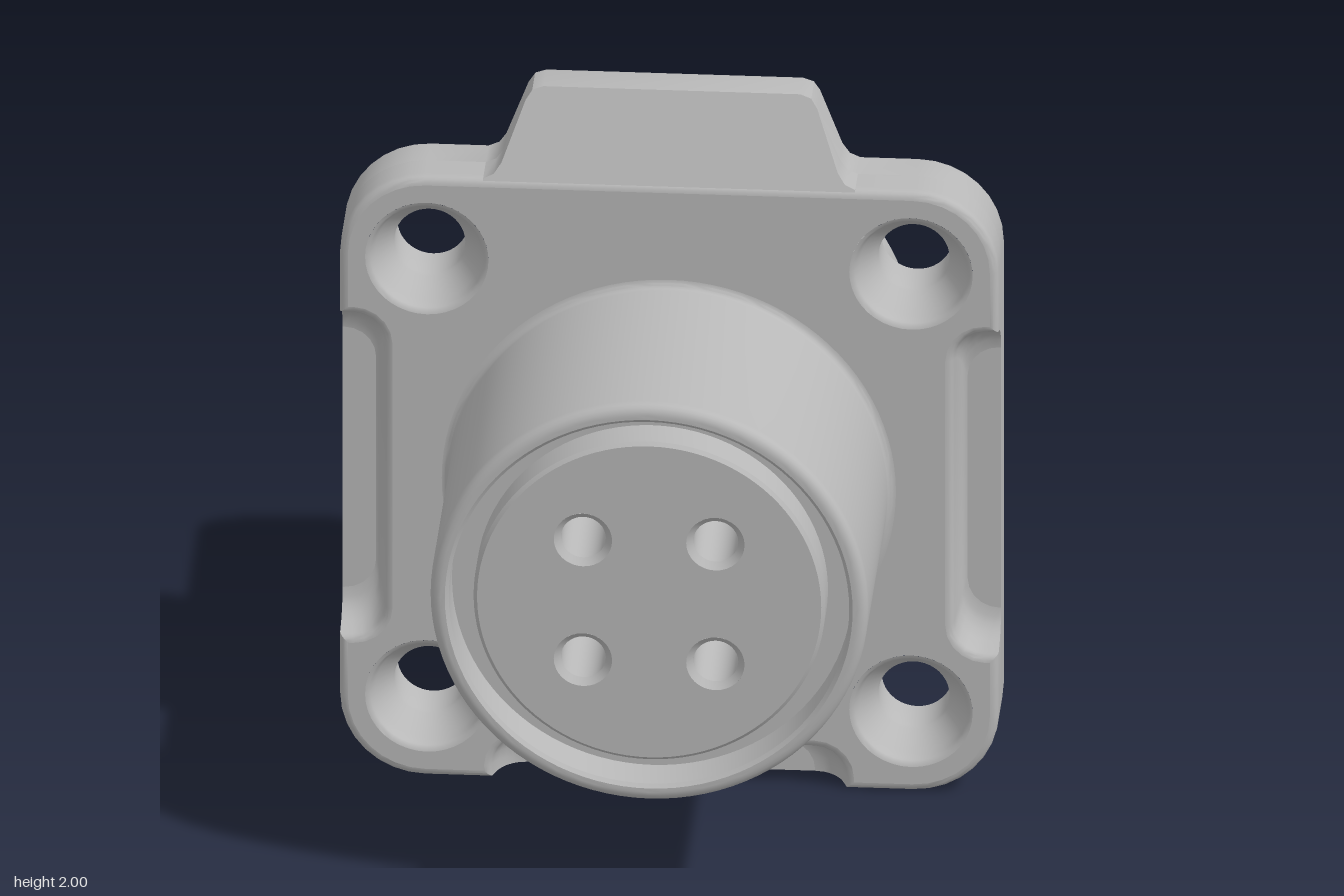
import * as THREE from 'three';
import { mergeGeometries, toCreasedNormals } from 'three/addons/utils/BufferGeometryUtils.js';

const H = 0.885;            // half size of the square flange, also the axis height
const FRONT = 0.13, BACK = -0.10, FLOOR = 0.02;
const CORNER = 0.23;
const HOLE = 0.647;         // screw hole offset from the axis

// Half of the raised tab, in edge coordinates (u along the edge, v inward)
const tabHalf = [[-0.5, 0], [-0.472, -0.012], [-0.452, -0.04], [-0.392, -0.195], [-0.375, -0.22], [-0.345, -0.23]];
const tab = [...tabHalf, ...tabHalf.map(([u, v]) => [-u, v]).reverse()];

// Edge coordinates to the front plane; side 0 bottom, 1 right, 2 top, 3 left
function place(side, u, v) {
  const p = new THREE.Vector2(u, v - H).rotateAround(new THREE.Vector2(), side * Math.PI / 2);
  return new THREE.Vector2(p.x * 0.88 / H, p.y + H);
}

// Notch in an edge with rounded inner corners
function notch(half, depth) {
  const r = 0.085, left = [[-half, 0]];
  for (let i = 0; i <= 5; i++) {
    const a = Math.PI - i / 5 * Math.PI / 2;
    left.push([-half + r + r * Math.cos(a), depth - r + r * Math.sin(a)]);
  }
  return [...left, ...left.map(([u, v]) => [-u, v]).reverse()];
}

// Rounded square, counterclockwise, with an extra path on each side
function outline(extras) {
  const pts = [];
  extras.forEach((extra, side) => {
    extra.forEach(([u, v]) => pts.push(place(side, u, v)));
    for (let i = 0; i <= 8; i++) {
      const a = -Math.PI / 2 + i / 8 * Math.PI / 2;
      pts.push(place(side, H - CORNER + CORNER * Math.cos(a), CORNER + CORNER * Math.sin(a)));
    }
  });
  return pts;
}

// Move every edge of an outline inward by d
function inset(pts, d) {
  const n = pts.length;
  const normal = (a, b) => new THREE.Vector2(a.y - b.y, b.x - a.x).normalize();
  return pts.map((p, i) => {
    const a = normal(pts[(i + n - 1) % n], p), b = normal(p, pts[(i + 1) % n]);
    return p.clone().addScaledVector(a.clone().add(b), d / (1 + a.dot(b)));
  });
}

// Walls between rings [points, height function]
function walls(rings) {
  const pos = [], n = rings[0][0].length;
  const put = (k, i) => { const p = rings[k][0][i]; pos.push(p.x, p.y, rings[k][1](p.y)); };
  for (let k = 0; k + 1 < rings.length; k++) {
    for (let i = 0; i < n; i++) {
      const j = (i + 1) % n;
      put(k, i); put(k, j); put(k + 1, j);
      put(k, i); put(k + 1, j); put(k + 1, i);
    }
  }
  const g = new THREE.BufferGeometry();
  g.setAttribute('position', new THREE.Float32BufferAttribute(pos, 3));
  return toCreasedNormals(g, 0.6);
}

// Flat cap with round holes, set to a height function
function cap(pts, height, holes = [], radius = 0, flip = false) {
  const shape = new THREE.Shape(pts);
  holes.forEach(([x, y]) => shape.holes.push(new THREE.Path().absarc(x, y, radius, 0, Math.PI * 2, true)));
  const g = new THREE.ShapeGeometry(shape, 24).toNonIndexed();
  const p = g.attributes.position;
  for (let i = 0; i < p.count; i++) p.setZ(i, height(p.getY(i)));
  if (flip) {
    for (let i = 0; i < p.count; i += 3) {
      const x = p.getX(i), y = p.getY(i), z = p.getZ(i);
      p.setXYZ(i, p.getX(i + 1), p.getY(i + 1), p.getZ(i + 1));
      p.setXYZ(i + 1, x, y, z);
    }
  }
  g.deleteAttribute('uv');
  g.computeVertexNormals();
  return g;
}

// Turned part around the z axis from [radius, z] points
function turned(profile, segments) {
  const g = new THREE.LatheGeometry(profile.map(([r, z]) => new THREE.Vector2(r, z)), segments);
  return toCreasedNormals(g.rotateX(Math.PI / 2), 0.6);
}

// Quarter round in [radius, z]
function arc(cr, cz, r, from, to, steps = 4) {
  return Array.from({ length: steps + 1 }, (_, i) => {
    const a = from + (to - from) * i / steps;
    return [cr + r * Math.cos(a), cz + r * Math.sin(a)];
  });
}

export function createModel() {
  const model = new THREE.Group();
  const metal = new THREE.MeshStandardMaterial({ color: 0xb8b8b8 });
  metal.name = 'satin grey';
  const add = (name, geometry, x = 0, y = 0) => {
    const m = new THREE.Mesh(geometry, metal);
    m.name = name;
    m.position.set(x, y, 0);
    model.add(m);
  };
  const at = z => () => z;
  const square = d => [[-d, -d], [d, -d], [d, d], [-d, d]].map(([x, y]) => [x, y + H]);
  const screws = square(HOLE);
  const bevel = [0, 1, 2, 3, 4].map(i => i / 4 * Math.PI / 2);
  const B = 0.022;

  // Rear flange layer with the tab, rounded at its back edge
  const base = outline([[], [], tab, []]);
  const rear = bevel.map(a => [inset(base, B * (1 - Math.sin(a))), at(BACK + B * (1 - Math.cos(a)))]);
  rear.push([base, at(BACK + B + 0.005)], [base, at(FLOOR)]);
  add('rearFlange', mergeGeometries([
    walls(rear),
    cap(rear[0][0], at(BACK), screws, 0.095, true),
    cap(base, at(FLOOR), screws, 0.165),
  ]));

  // Front flange layer with three notches that curve into their floor
  const notched = t => {
    const f = 1 - Math.sqrt(1 - (1 - t) ** 2);
    const n = notch(0.475 - 0.09 * f, 0.12 - 0.03 * f);
    return outline([n, n, [], n]);
  };
  const front = [0, 0.04, 0.12, 0.25, 0.45, 0.7].map(t => [notched(t), at(FLOOR + t * (FRONT - FLOOR))]);
  const top = notched(1);
  bevel.forEach(a => front.push([inset(top, B * (1 - Math.cos(a))), at(FRONT - B * (1 - Math.sin(a)))]));
  add('frontFlange', mergeGeometries([
    walls(front),
    cap(front[front.length - 1][0], at(FRONT), screws, 0.165),
  ]));

  // Sloping face of the tab
  const wedge = [[-0.5, B], ...tab, [0.5, B]].map(([u, v]) => place(2, u, v));
  const slope = y => FRONT - (y - (2 * H - B)) / (0.23 + B) * (FRONT - FLOOR);
  add('tabSlope', mergeGeometries([walls([[wedge, at(FLOOR)], [wedge, slope]]), cap(wedge, slope)]));

  // Countersunk screw holes
  const sink = [[0.165, FRONT], [0.157, 0.127], [0.151, 0.12], [0.149, 0.11],
    [0.14, 0.09], [0.1, 0.03], [0.095, 0.02], [0.095, BACK]];
  screws.forEach(([x, y]) => add('screwHole', turned(sink, 40), x, y));

  // Rear cup, outer barrel, front rim, groove and edge of the insert
  add('barrel', turned([
    [0, -0.39], [0.527, -0.39], [0.527, -0.825], [0.585, -0.825], [0.585, BACK], [0.585, 0.1],
    [0.607, 0.1], ...arc(0.607, 0.152, 0.022, -Math.PI / 2, -Math.PI), [0.585, 0.16],
    [0.585, 0.83], ...arc(0.557, 0.837, 0.028, 0, Math.PI / 2), [0.55, 0.865],
    [0.545, 0.865], [0.535, 0.855], [0.535, 0.74], [0.47, 0.74], [0.47, 0.84], [0.46, 0.85],
  ], 96), 0, H);

  // Insert face with four sockets
  const disc = Array.from({ length: 96 }, (_, i) => {
    const a = i / 96 * Math.PI * 2;
    return new THREE.Vector2(0.46 * Math.cos(a), H + 0.46 * Math.sin(a));
  });
  const sockets = square(0.177);
  add('insertFace', cap(disc, at(0.85), sockets, 0.078));
  sockets.forEach(([x, y]) =>
    add('socket', turned([[0.078, 0.85], [0.06, 0.832], [0.06, 0.55], [0, 0.55]], 32), x, y));

  // Hollow solder pins at the back
  square(0.235).forEach(([x, y]) => add('solderPin', turned([
    [0, -0.7], [0.05, -0.7], [0.05, -0.865], [0.07, -0.865], [0.07, -0.38]], 32), x, y));

  return model;
}
